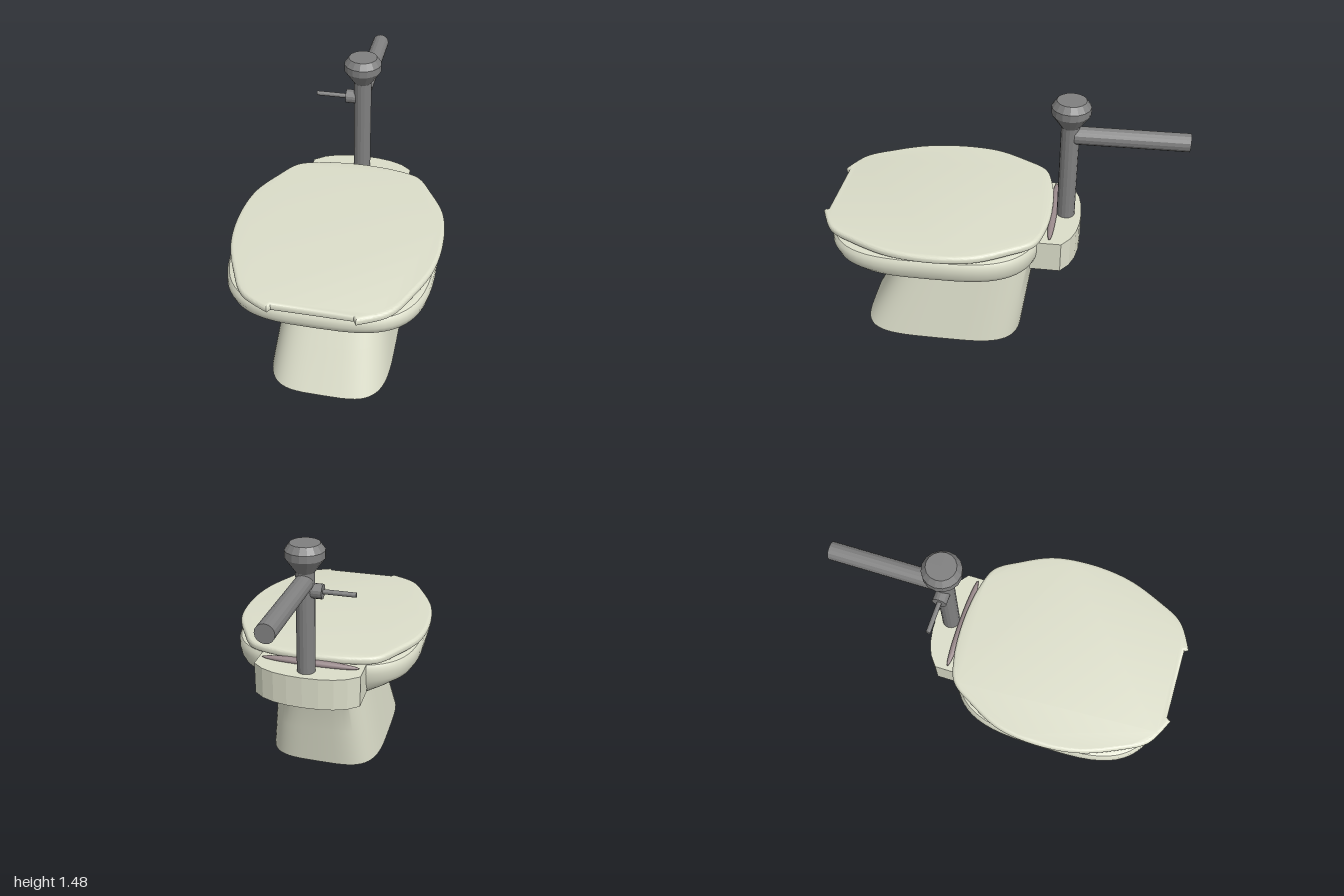
import * as THREE from 'three';
import { toCreasedNormals } from 'three/addons/utils/BufferGeometryUtils.js';

const ceramic = new THREE.MeshStandardMaterial({ color: 0xdcdeca });
const metal = new THREE.MeshStandardMaterial({ color: 0x808080 });
const hingeMat = new THREE.MeshStandardMaterial({ color: 0x9a8a8c });

function add(parent, name, geometry, material) {
  const mesh = new THREE.Mesh(geometry, material);
  mesh.name = name;
  parent.add(mesh);
  return mesh;
}

// Loft through superellipse rings: [y, halfWidth, zBack, zFront, exponent]
function loft(rings, sides) {
  const positions = [], index = [];
  const bend = (v, n) => Math.sign(v) * Math.pow(Math.abs(v), 2 / n);
  rings.forEach(([y, w, z0, z1, n], i) => {
    for (let j = 0; j < sides; j++) {
      const t = (j / sides) * Math.PI * 2;
      positions.push(w * bend(Math.cos(t), n), y,
        (z0 + z1) / 2 + ((z1 - z0) / 2) * bend(Math.sin(t), n));
      if (i === rings.length - 1) continue;
      const a = i * sides + j, b = i * sides + ((j + 1) % sides);
      index.push(a, a + sides, b, b, a + sides, b + sides);
    }
  });
  const g = new THREE.BufferGeometry();
  g.setAttribute('position', new THREE.Float32BufferAttribute(positions, 3));
  g.setIndex(index);
  return toCreasedNormals(g, 0.6);
}

// Horizontal slab from an outline whose shape y is -z
function slab(shape, y, height, bevel) {
  const g = new THREE.ExtrudeGeometry(shape, {
    depth: height - 2 * bevel, curveSegments: 14, bevelEnabled: bevel > 0,
    bevelThickness: bevel, bevelSize: bevel, bevelOffset: -bevel, bevelSegments: 4,
  });
  g.rotateX(-Math.PI / 2);
  g.translate(0, y + bevel, 0);
  return g;
}

function rod(radius, length, axis) {
  const g = toCreasedNormals(new THREE.CylinderGeometry(radius, radius, length, 16), 0.3);
  if (axis === 'x') g.rotateZ(Math.PI / 2);
  if (axis === 'z') g.rotateX(Math.PI / 2);
  return g;
}

export function createModel() {
  const model = new THREE.Group();
  model.name = 'toilet';

  // Pedestal, flared bowl, rolled rim and inner basin
  add(model, 'bowl', loft([
    [0, 0, 0.35, 0.35, 4],
    [0, 0.347, -0.13, 0.825, 4],
    [0.25, 0.313, -0.165, 0.69, 3.8],
    [0.5, 0.278, -0.2, 0.56, 3.5],
    [0.53, 0.335, -0.21, 0.635, 3.4],
    [0.58, 0.445, -0.225, 0.77, 3.3],
    [0.625, 0.525, -0.238, 0.9, 3.3],
    [0.655, 0.543, -0.248, 0.935, 3.3],
    [0.7, 0.551, -0.255, 0.953, 3.3],
    [0.735, 0.549, -0.254, 0.95, 3.3],
    [0.753, 0.538, -0.245, 0.938, 3.3],
    [0.76, 0.518, -0.225, 0.918, 3.3],
    [0.76, 0.4, -0.08, 0.78, 2.6],
    [0.74, 0.38, -0.06, 0.76, 2.6],
    [0.6, 0.25, 0.0, 0.6, 2.4],
    [0.5, 0.12, 0.1, 0.4, 2],
    [0.48, 0, 0.25, 0.25, 2],
  ], 64), ceramic);

  // Lid with a finger notch at the front
  const half = [[0.22, -0.995], [0.37, -0.91], [0.455, -0.77], [0.54, -0.56], [0.569, -0.33],
    [0.545, -0.1], [0.455, 0.09], [0.36, 0.225], [0.2, 0.275]];
  const right = half.map(([x, y]) => new THREE.Vector2(x, y));
  const left = half.map(([x, y]) => new THREE.Vector2(-x, y)).reverse();
  const lidShape = new THREE.Shape();
  lidShape.moveTo(0.205, -0.972);
  lidShape.lineTo(0.22, -0.995);
  lidShape.splineThru(right.slice(1));
  lidShape.quadraticCurveTo(0, 0.305, -0.2, 0.275);
  lidShape.splineThru(left.slice(1));
  lidShape.lineTo(-0.205, -0.972);
  add(model, 'lid', toCreasedNormals(slab(lidShape, 0.768, 0.047, 0.018), 0.7), ceramic);

  // Rear ledge carrying the pipe
  const ledge = new THREE.Shape([[-0.3, 0.19], [0.3, 0.19], [0.3, 0.36], [0.24, 0.407], [0.17, 0.435],
    [0.09, 0.45], [0, 0.455], [-0.09, 0.45], [-0.17, 0.435], [-0.24, 0.407], [-0.3, 0.36]]
    .map(([x, y]) => new THREE.Vector2(x, y)));
  add(model, 'rearLedge', slab(ledge, 0.572, 0.185, 0), ceramic);

  // Spindle-shaped hinge behind the lid
  const hinge = add(model, 'hinge', new THREE.SphereGeometry(1, 24, 12), hingeMat);
  hinge.scale.set(0.28, 0.02, 0.024);
  hinge.position.set(0, 0.767, -0.293);

  // Flush pipe, valve head, supply pipe and lever
  const flush = new THREE.Group();
  flush.name = 'flushValve';
  flush.position.z = -0.365;
  model.add(flush);
  add(flush, 'uprightPipe', rod(0.051, 0.6, 'y'), metal).position.y = 1.04;
  const profile = [[0, 1.33], [0.051, 1.33], [0.106, 1.408], [0.106, 1.448], [0.08, 1.484], [0, 1.484]]
    .map(([x, y]) => new THREE.Vector2(x, y));
  add(flush, 'valveHead', toCreasedNormals(new THREE.LatheGeometry(profile, 16), 0.3), metal);
  add(flush, 'supplyPipe', rod(0.05, 0.61, 'z'), metal).position.set(0, 1.275, -0.33);
  add(flush, 'leverCollar', rod(0.04, 0.06, 'x'), metal).position.set(-0.065, 1.228, 0);
  add(flush, 'lever', rod(0.013, 0.18, 'x'), metal).position.set(-0.18, 1.228, 0);

  return model;
}
